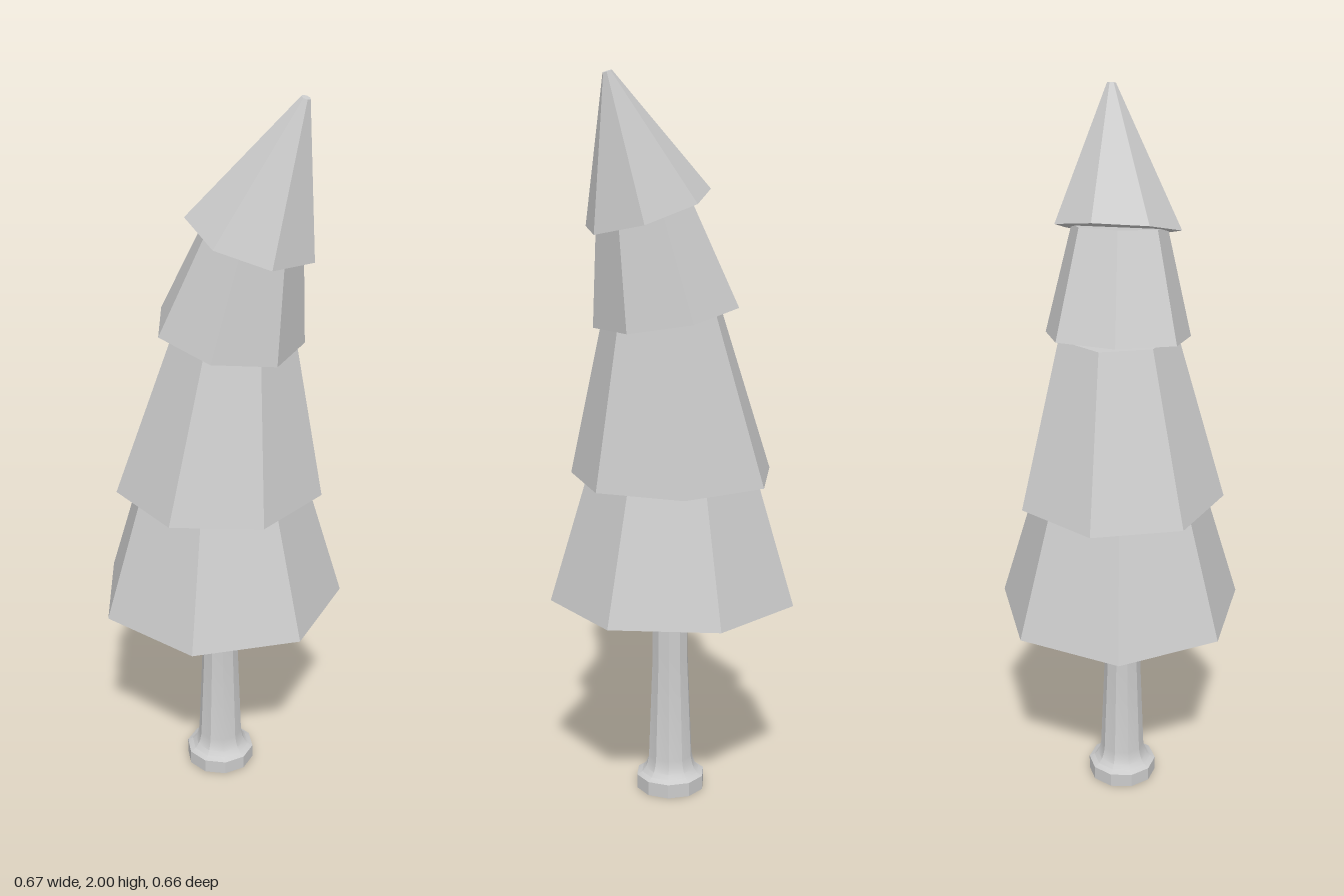
import * as THREE from 'three';
import { toCreasedNormals } from 'three/addons/utils/BufferGeometryUtils.js';

const SIDES = 7;
const material = new THREE.MeshStandardMaterial({ color: 0xcccccc });
const flatMaterial = new THREE.MeshStandardMaterial({ color: 0xcccccc, flatShading: true });

// A horizontal heptagon around a centre, with its plane sloped by [dy/dx, dy/dz]
function ring([cx, cy, cz], radius, phase, slope) {
  return Array.from({ length: SIDES }, (_, i) => {
    const a = THREE.MathUtils.degToRad(phase) + (i * 2 * Math.PI) / SIDES;
    const dx = radius * Math.cos(a), dz = radius * Math.sin(a);
    return [cx + dx, cy + slope[0] * dx + slope[1] * dz, cz + dz];
  });
}

// A closed, leaning frustum between two heptagons
function tierGeometry({ base, baseRadius, top, topRadius, phase, slope = [0, 0] }) {
  const b = ring(base, baseRadius, phase, slope);
  const t = ring(top, topRadius, phase, slope);
  const corners = [];
  for (let i = 0; i < SIDES; i++) {
    const j = (i + 1) % SIDES;
    corners.push(b[i], t[i], b[j], b[j], t[i], t[j]); // side
    corners.push(base, b[i], b[j], top, t[j], t[i]); // underside and cap
  }
  const geometry = new THREE.BufferGeometry();
  geometry.setAttribute('position', new THREE.Float32BufferAttribute(corners.flat(), 3));
  geometry.computeVertexNormals();
  return geometry;
}

// Foliage tiers from the bottom up, leaning further towards the tip
const TIERS = [
  { name: 'lowestFoliage', base: [-0.003, 0.575, 0.01], baseRadius: 0.344,
    top: [-0.002, 0.94, 0.01], topRadius: 0.234, phase: 8.7 },
  { name: 'lowerFoliage', base: [-0.003, 0.92, 0.01], baseRadius: 0.286,
    top: [0.034, 1.375, 0.022], topRadius: 0.164, phase: 24 },
  { name: 'upperFoliage', base: [0.02, 1.368, 0.018], baseRadius: 0.2,
    top: [0.073, 1.65, 0.058], topRadius: 0.13, phase: 10, slope: [-0.13, -0.118] },
  { name: 'foliageTip', base: [0.072, 1.645, 0.053], baseRadius: 0.17,
    top: [0.19, 1.996, 0.112], topRadius: 0.012, phase: 31.5, slope: [-0.245, -0.225] },
];

export function createModel() {
  const tree = new THREE.Group();
  tree.name = 'tree';

  // Trunk with a plinth and a curved flare at its foot
  const profile = [
    [0, 0], [0.098, 0], [0.098, 0.04], [0.083, 0.048], [0.073, 0.06],
    [0.067, 0.075], [0.063, 0.095], [0.051, 0.4], [0.05, 0.58], [0, 0.58],
  ].map(([r, y]) => new THREE.Vector2(r, y));
  const trunk = new THREE.Mesh(toCreasedNormals(new THREE.LatheGeometry(profile, 10), 0.55), material);
  trunk.name = 'trunk';
  trunk.position.set(-0.003, 0, 0.02);
  tree.add(trunk);

  // Foliage
  for (const tier of TIERS) {
    const mesh = new THREE.Mesh(tierGeometry(tier), flatMaterial);
    mesh.name = tier.name;
    tree.add(mesh);
  }
  return tree;
}
